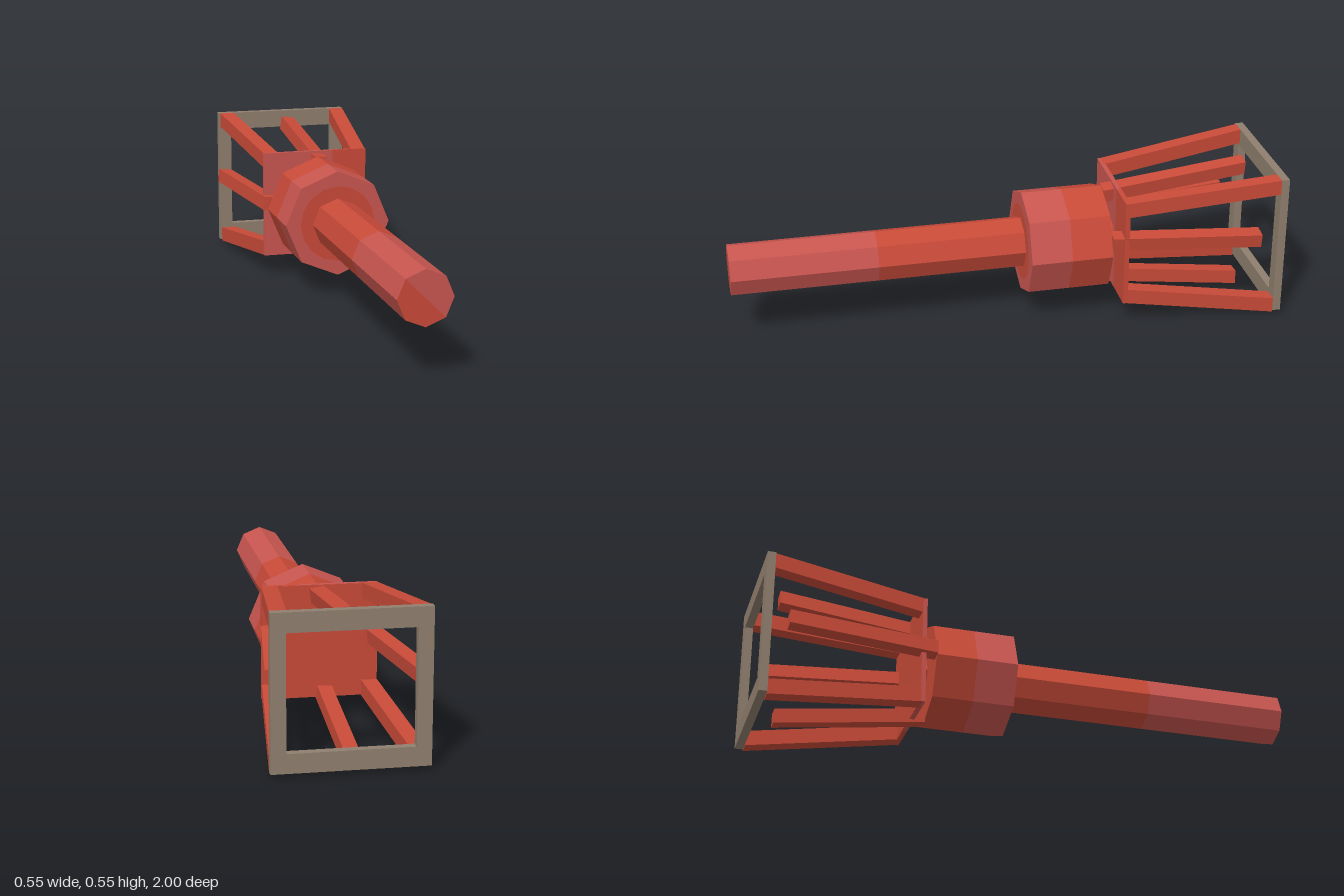
import * as THREE from 'three';

function makeMaterial(name, color) {
  const m = new THREE.MeshStandardMaterial({ color });
  m.name = name;
  return m;
}

export function createModel() {
  const model = new THREE.Group();
  model.name = 'cagedRod';
  const rose = makeMaterial('rose red', 0xc8554f);
  const red = makeMaterial('orange red', 0xc84a38);
  const taupe = makeMaterial('taupe', 0x8f7f6e);
  const CX = 0.01, CY = 0.27;

  function add(name, geometry, material) {
    const mesh = new THREE.Mesh(geometry, material);
    mesh.name = name;
    model.add(mesh);
    return mesh;
  }

  // Octagonal prism along z, flat faced
  function prism(name, radius, z0, z1, material, open = false) {
    const g = new THREE.CylinderGeometry(radius, radius, z1 - z0, 8, 1, open)
      .rotateX(Math.PI / 2).translate(CX, CY, (z0 + z1) / 2).toNonIndexed();
    g.computeVertexNormals();
    return add(name, g, material);
  }

  // Square bar whose ends stay parallel to the xy plane
  function bar(name, a, b, size, roll = 0) {
    const g = new THREE.BoxGeometry(size, size, 1).rotateZ(roll);
    const p = g.attributes.position;
    for (let i = 0; i < p.count; i++) {
      const t = p.getZ(i) + 0.5;
      p.setXYZ(i,
        p.getX(i) + a[0] + (b[0] - a[0]) * t,
        p.getY(i) + a[1] + (b[1] - a[1]) * t,
        a[2] + (b[2] - a[2]) * t);
    }
    const flat = g.toNonIndexed();
    flat.computeVertexNormals();
    return add(name, flat, red);
  }

  // Two-tone handle with a diagonally split end cap
  prism('handleFront', 0.096, 0.47, 1, rose, true);
  prism('handleRear', 0.096, -0.07, 0.47, red, true);
  const half = (start) => new THREE.CircleGeometry(0.096, 4, start, Math.PI).translate(CX, CY, 1);
  add('handleCapUpper', half(-Math.PI / 4), rose);
  add('handleCapLower', half(Math.PI * 0.75), red);

  // Collar and the tinted ring on its front face
  prism('collarFront', 0.197, -0.22, -0.07, rose);
  prism('collarRear', 0.197, -0.37, -0.22, red);
  add('collarRing', new THREE.CircleGeometry(0.142, 16).translate(CX, CY, -0.068), red);
  prism('neck', 0.06, -0.41, -0.37, red);

  // Square plate, rose on one side
  const plate = (name, x0, x1, mat) => add(name,
    new THREE.BoxGeometry(x1 - x0, 0.404, 0.015).translate((x0 + x1) / 2, 0.279, -0.4175), mat);
  plate('plateRight', -0.193, 0.08, rose);
  plate('plateLeft', 0.08, 0.213, red);
  add('plateBack', new THREE.BoxGeometry(0.404, 0.402, 0.004).translate(0.01, 0.279, -0.426), red);

  // Corner struts from plate to frame
  for (const sx of [-1, 1]) {
    for (const sy of [-1, 1]) {
      bar('cornerStrut',
        [0.012 + sx * 0.231, 0.278 + sy * 0.241, -0.97],
        [0.01 + sx * 0.174, 0.279 + sy * 0.174, -0.42], 0.056);
    }
  }

  // Four slightly rolled prongs splaying out of the collar
  const prongs = [
    ['topProng', [0.020, 0.504], [0.018, 0.440], -0.15],
    ['bottomProng', [-0.006, 0.028], [-0.006, 0.100], 0.04],
    ['leftProng', [0.245, 0.314], [0.178, 0.322], -0.17],
    ['rightProng', [-0.244, 0.298], [-0.175, 0.291], -0.1],
  ];
  for (const [name, end, start, roll] of prongs) {
    bar(name, [...end, -0.91], [...start, -0.37], 0.052, roll);
  }

  // Rear frame
  const rect = (Type, x0, x1, y0, y1) => {
    const s = new Type();
    s.moveTo(x0, y0).lineTo(x1, y0).lineTo(x1, y1).lineTo(x0, y1).closePath();
    return s;
  };
  const outline = rect(THREE.Shape, -0.254, 0.271, 0.015, 0.547);
  outline.holes.push(rect(THREE.Path, -0.203, 0.22, 0.082, 0.48));
  add('rearFrame',
    new THREE.ExtrudeGeometry(outline, { depth: 0.03, bevelEnabled: false }).translate(0, 0, -1), taupe);

  return model;
}
